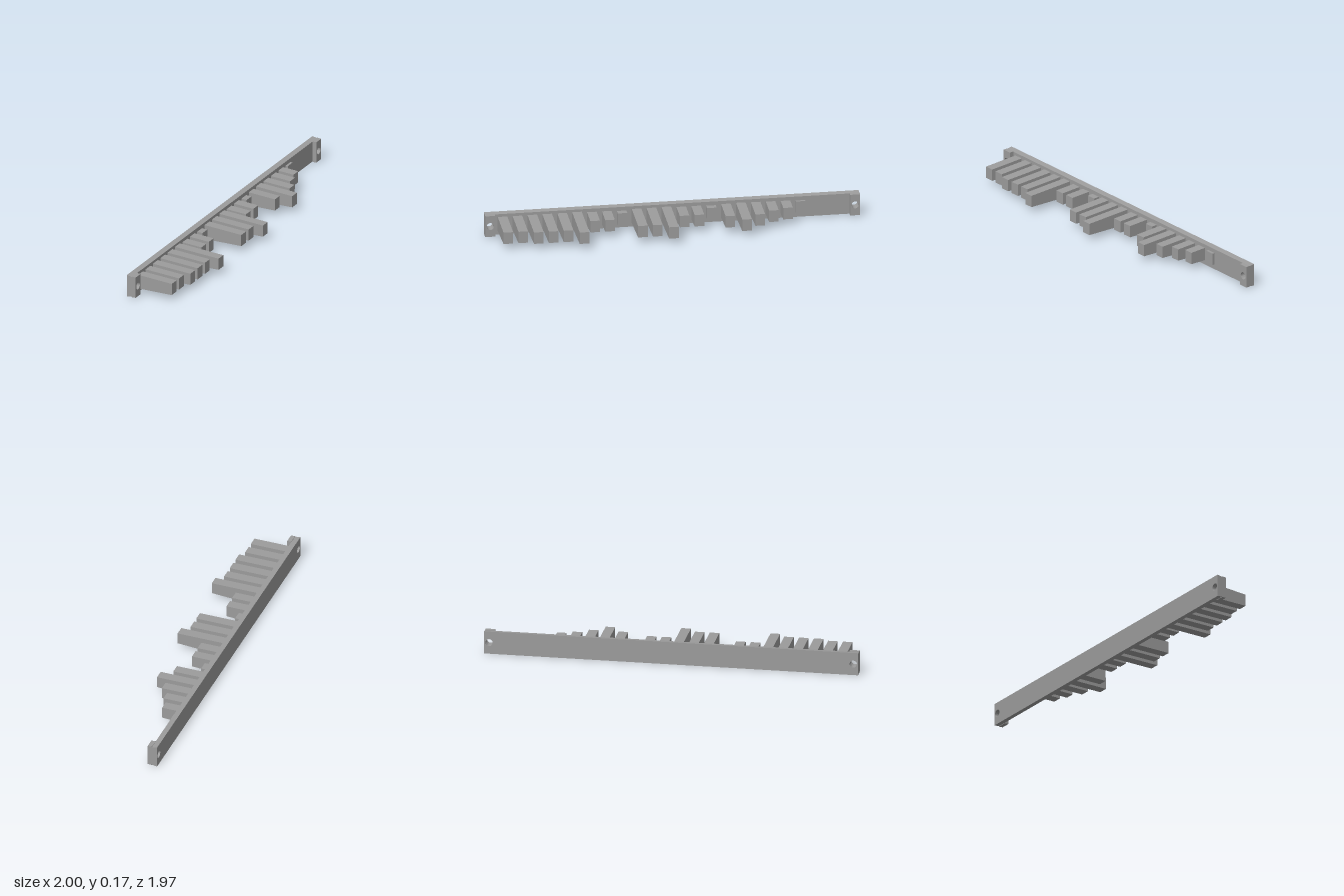
import * as THREE from 'three';
import { toCreasedNormals } from 'three/addons/utils/BufferGeometryUtils.js';

const LENGTH = 2.66, HEIGHT = 0.165, MID = HEIGHT / 2;
const BAR_DEPTH = 0.04, END_DEPTH = 0.071, END_WIDTH = 0.07, HOLE_RADIUS = 0.026;
const PITCH = 0.1057, FIRST = 0.126, TOOTH_WIDTH = 0.068;

// Distance of each tooth tip from the back of the bar
const TIPS = [
  0.31, 0.31, 0.34, 0.34, 0.34, 0.39, 0.193, 0.193, 0.083, 0.335, 0.335,
  0.39, 0.195, 0.195, 0.082, 0.25, 0.33, 0.25, 0.195, 0.162, 0.057,
];

// Plate in the length/height plane with round through holes, drawn in by a draft towards the front
function plate(x0, x1, z0, z1, holes, draft) {
  const shape = new THREE.Shape([
    new THREE.Vector2(x0, 0), new THREE.Vector2(x1, 0),
    new THREE.Vector2(x1, HEIGHT), new THREE.Vector2(x0, HEIGHT),
  ]);
  for (const x of holes) shape.holes.push(new THREE.Path().absarc(x, MID, HOLE_RADIUS, 0, Math.PI * 2, true));
  const geo = new THREE.ExtrudeGeometry(shape, { depth: z1 - z0, bevelEnabled: false, curveSegments: 24 });
  geo.translate(0, 0, z0);
  const p = geo.attributes.position;
  for (let i = 0; i < p.count; i++) {
    const y = p.getY(i), edge = Math.abs(y - MID) > MID - 0.001;
    if (edge) p.setY(i, y - Math.sign(y - MID) * draft * p.getZ(i));
  }
  return toCreasedNormals(geo, 0.6);
}

// Tooth whose top and bottom slope slightly towards the tip
function tooth(tip) {
  const start = BAR_DEPTH - 0.01, len = tip - start;
  const geo = new THREE.BoxGeometry(TOOTH_WIDTH, 1, len);
  geo.translate(0, 0, start + len / 2);
  const p = geo.attributes.position;
  for (let i = 0; i < p.count; i++) {
    const half = 0.043 + 0.035 * (tip - p.getZ(i));
    p.setY(i, 0.086 + Math.sign(p.getY(i)) * half);
  }
  return toCreasedNormals(geo, 0.02);
}

export function createModel() {
  const grey = new THREE.MeshStandardMaterial({ color: 0x9c9c9c });
  grey.name = 'grey';
  const model = new THREE.Group();
  model.name = 'toothedBar';
  const add = (name, geo, x = 0) => {
    const mesh = new THREE.Mesh(geo, grey);
    mesh.name = name;
    mesh.position.x = x;
    model.add(mesh);
  };

  // Backing bar with a screw hole at each end
  const holes = [END_WIDTH / 2, LENGTH - END_WIDTH / 2];
  add('bar', plate(0, LENGTH, 0, BAR_DEPTH, holes, 0.15));

  // Raised mounting blocks around the holes
  add('endBlock', plate(0, END_WIDTH, BAR_DEPTH, END_DEPTH, [holes[0]], 0.06));
  add('endBlock', plate(LENGTH - END_WIDTH, LENGTH, BAR_DEPTH, END_DEPTH, [holes[1]], 0.06));

  // Row of teeth of varying length
  TIPS.forEach((tip, i) => add('tooth', tooth(tip), FIRST + i * PITCH));

  // Lay the bar diagonally across the ground
  model.rotation.y = Math.atan2(1.81, 1.95);
  model.position.set(-1, 0, 0.82);
  const root = new THREE.Group();
  root.name = 'model';
  root.add(model);
  return root;
}
